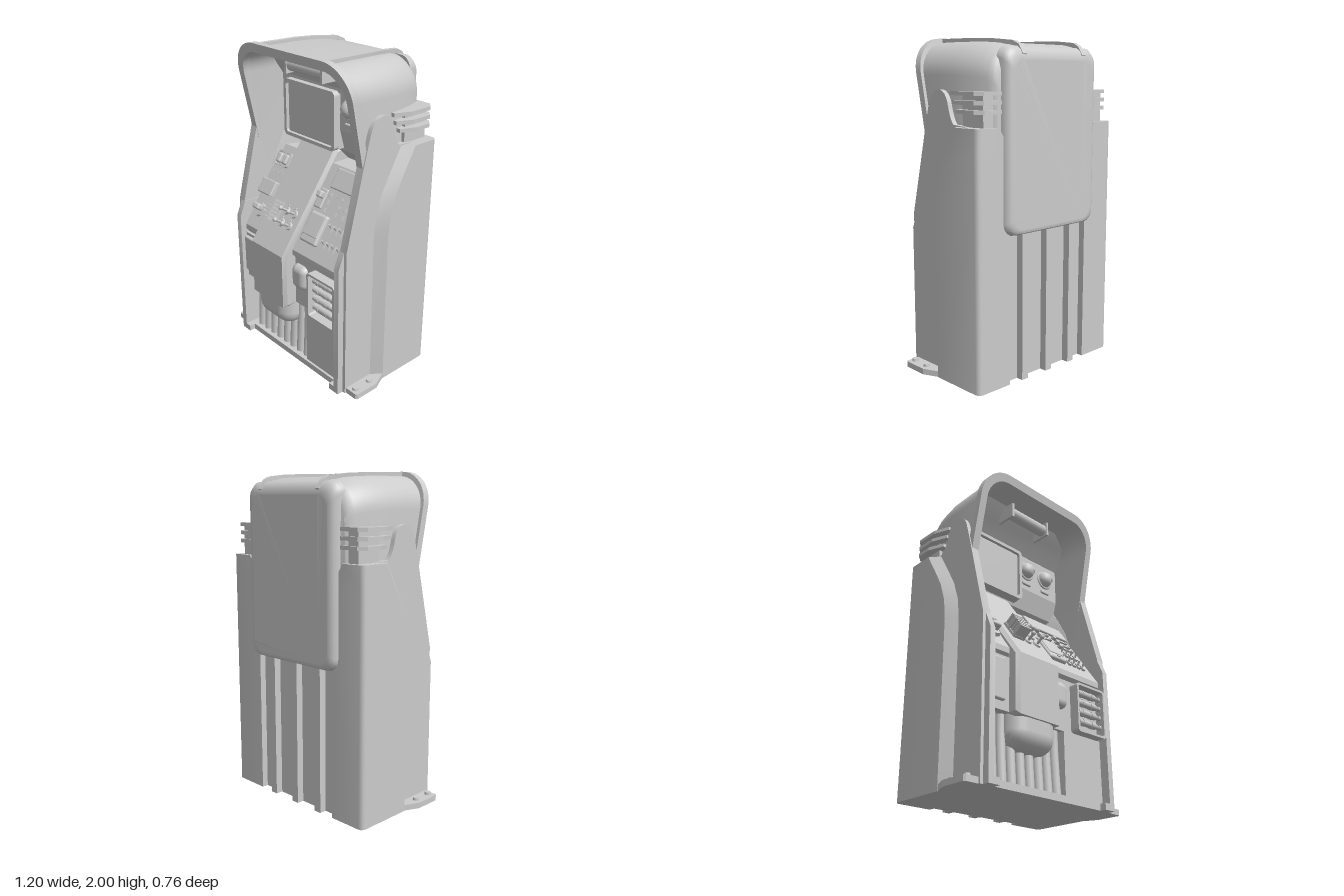
import * as THREE from 'three';
import { toCreasedNormals } from 'three/addons/utils/BufferGeometryUtils.js';
import { RoundedBoxGeometry } from 'three/addons/geometries/RoundedBoxGeometry.js';

const grey = new THREE.MeshStandardMaterial({ color: 0xcccccc });
const greyThin = new THREE.MeshStandardMaterial({ color: 0xcccccc, side: THREE.DoubleSide });

const mix = THREE.MathUtils.lerp;

function add(parent, name, geo, x = 0, y = 0, z = 0, mat = grey) {
  const m = new THREE.Mesh(geo, mat);
  m.name = name;
  m.position.set(x, y, z);
  parent.add(m);
  return m;
}
const box = (w, h, d) => new THREE.BoxGeometry(w, h, d);
const soft = (w, h, d, r) => new RoundedBoxGeometry(w, h, d, 3, r);
const cyl = (r0, r1, h, n = 16) => new THREE.CylinderGeometry(r0, r1, h, n);
const polygon = pts => new THREE.Shape(pts.map(p => new THREE.Vector2(...p)));

// Side profile of [z, y] points (or a Shape) stretched from x0 to x1, with optional chamfer b
function profile(shape, x0, x1, b = 0) {
  const s = Array.isArray(shape) ? polygon(shape) : shape;
  const g = new THREE.ExtrudeGeometry(s, { depth: x1 - x0 - 2 * b, curveSegments: 10,
    bevelEnabled: b > 0, bevelThickness: b, bevelSize: b, bevelOffset: -b, bevelSegments: 1 });
  return toCreasedNormals(g.rotateY(-Math.PI / 2).translate(x1 - b, 0, 0), 0.5);
}
// Floor plan of [x, z] points raised to height h
function plan(pts, h) {
  const s = polygon(pts.map(([x, z]) => [x, -z]));
  return new THREE.ExtrudeGeometry(s, { depth: h, bevelEnabled: false }).rotateX(-Math.PI / 2);
}
// Skin over closed rings of [x, y, z] points
function loft(rings, capStart = true, capEnd = true) {
  const n = rings[0].length, idx = [], last = (rings.length - 1) * n;
  for (let r = 0; r < rings.length - 1; r++)
    for (let i = 0; i < n; i++) {
      const a = r * n + i, b = r * n + (i + 1) % n;
      idx.push(a, b, b + n, a, b + n, a + n);
    }
  for (let i = 1; i < n - 1; i++) {
    if (capStart) idx.push(0, i + 1, i);
    if (capEnd) idx.push(last, last + i, last + i + 1);
  }
  const g = new THREE.BufferGeometry();
  g.setAttribute('position', new THREE.Float32BufferAttribute(rings.flat(2), 3));
  g.setIndex(idx);
  return toCreasedNormals(g, 0.6);
}
// Round-shouldered arch, from lower left over the top to lower right
function arch(w, top, r, bottom) {
  const pts = [[-w, bottom]];
  for (const [cx, start] of [[-w + r, Math.PI], [w - r, Math.PI / 2]])
    for (let i = 0; i <= 10; i++) {
      const a = start - i / 10 * Math.PI / 2;
      pts.push([cx + r * Math.cos(a), top - r + r * Math.sin(a)]);
    }
  return [...pts, [w, bottom]];
}
function roundRect(x, y, w, h, r) {
  const s = new THREE.Shape();
  s.absarc(x + w - r, y + r, r, -Math.PI / 2, 0);
  s.absarc(x + w - r, y + h - r, r, 0, Math.PI / 2);
  s.absarc(x + r, y + h - r, r, Math.PI / 2, Math.PI);
  s.absarc(x + r, y + r, r, Math.PI, Math.PI * 1.5);
  return s;
}
function frame(x, y, w, h, r, border, depth) {
  const s = roundRect(x, y, w, h, r);
  s.holes.push(roundRect(x + border, y + border, w - 2 * border, h - 2 * border, r * 0.6));
  return new THREE.ExtrudeGeometry(s, { depth, bevelEnabled: false, curveSegments: 5 });
}
const hoodFront = y => 0.31 - 0.21 * (2 - y);

function buildHood(g) {
  const rings = [[0, .48, 1.975], [.3, .48, 1.975], [.55, .478, 1.972], [.7, .465, 1.968], [.82, .45, 1.962],
    [.92, .432, 1.95], [.97, .42, 1.935], [1, .4, 1.9]]
    .map(([t, w, top]) => arch(w, top, .19, .95).map(([x, y]) => [x, y, mix(hoodFront(y), -.325, t)]));
  add(g, 'hood', loft(rings, false, true), 0, 0, 0, greyThin);
  // Smooth lining inside the opening
  const lining = [0, 1].map(t => arch(.452, 1.945, .155, .95).map(([x, y]) => [x, y, mix(hoodFront(y) - .02, -.18, t)]));
  add(g, 'hoodLining', loft(lining, false, false), 0, 0, 0, greyThin);

  // Slanted rim around the opening
  const rimShape = polygon([...arch(.5, 2, .2, 1.36), ...arch(.452, 1.945, .155, 1.36).reverse()]);
  const rim = new THREE.ExtrudeGeometry(rimShape, { depth: .045, bevelEnabled: false });
  const p = rim.attributes.position;
  for (let i = 0; i < p.count; i++) p.setZ(i, p.getZ(i) - .045 + hoodFront(p.getY(i)));
  add(g, 'hoodRim', toCreasedNormals(rim, .5));

  // Rails running over the roof and onto the rear cover
  const path = [[.29, 1.997, .29], [.29, 1.993, 0], [.275, 1.987, -.15], [.25, 1.972, -.3], [.245, 1.95, -.345], [.245, 1.9, -.378]];
  for (const s of [-1, 1])
    add(g, 'roofRail', loft(path.map(([x, y, z]) => {
      const l = s * x - .015, r = s * x + .015;
      return [[l, y, z], [r, y, z], [r, y - .024, z + .01], [l, y - .024, z + .01]];
    })));
  // Rear cover, softened more along its top edge
  const cover = [[-.29, .375, .885, 1.945], [-.335, .372, .887, 1.94], [-.362, .36, .892, 1.92], [-.375, .342, .9, 1.895],
    [-.38, .322, .915, 1.87], [-.38, .318, .92, 1.865]]
    .map(([z, w, y0, y1]) => roundRect(-w, y0, 2 * w, y1 - y0, .075).getPoints(6).reverse().map(q => [q.x, q.y, z]));
  add(g, 'rearCover', loft(cover));
}

function buildSide() {
  const g = new THREE.Group();
  g.name = 'side';
  const s = new THREE.Shape();
  s.moveTo(-.33, 0);
  s.lineTo(.31, 0);
  s.lineTo(.31, .96);
  s.lineTo(.19, 1.44);
  s.lineTo(.145, 1.61);
  s.bezierCurveTo(.12, 1.72, 0, 1.74, -.03, 1.63);
  s.quadraticCurveTo(-.05, 1.54, -.08, 1.51);
  s.lineTo(-.33, 1.49);
  add(g, 'sidePlate', profile(s, .455, .508));
  // Outer pod with chamfered front that sweeps back near the top
  const pod = [[0, .035, .32], [1, .035, .32], [1.13, .02, .32], [1.25, -.02, .32], [1.37, -.085, .32], [1.5, -.16, .4]].map(([y, z, inner]) =>
    [[.45, z + .065], [.506, z + .065], [.56, z], [.56, -.31], [.556, -.325], [.546, -.336], [.53, -.34], [inner, -.34], [inner, -.25]]
      .map(([x, q]) => [x, y, q]));
  add(g, 'sidePod', loft(pod));
  // Cooling fins beside the hood
  add(g, 'finCore', box(.12, .21, .17), .43, 1.59, -.225);
  [[1.685, -.04], [1.635, -.06], [1.585, -.09]].forEach(([y, z]) =>
    add(g, 'coolingFin', plan([[.4, z], [.5, z], [.54, z - .1], [.54, -.29], [.5, -.33], [.36, -.33]], .022), 0, y - .011));
  // Front post and bolted foot
  add(g, 'frontPost', profile([[.2, 0], [.35, 0], [.35, .86], [.31, .96], [.2, .96]], .45, .488));
  add(g, 'postFoot', box(.075, .04, .12), .4475, .02, .29);
  add(g, 'footPlate', plan([[.48, .0], [.555, .03], [.6, .13], [.6, .29], [.59, .3], [.48, .3]], .035));
  for (const z of [.15, .265]) add(g, 'bolt', cyl(.018, .02, .016), .555, .043, z);
  return g;
}

// Puts a part on a sloped face, tilted to match
const consoleZ = y => .31 - .6875 * (y - .8);
const columnZ = y => .38 - .72 * (y - .76);
function onSlope(g, slope, name, x, y) {
  const s = new THREE.Group();
  s.name = name;
  s.position.set(x, y, slope(y));
  s.rotation.x = -.61;
  g.add(s);
  return s;
}

function buildBody(g) {
  add(g, 'body', profile([[-.3, 0], [.31, 0], [.31, .04], [.22, .04], [.22, .42], [.29, .42], [.29, .745], [.31, .765],
    [.31, .8], [-.02, 1.28], [-.17, 1.28], [-.2, 1.4], [-.3, 1.4]], -.456, .456));
  for (const x of [-.2, 0, .2]) add(g, 'rearRib', box(.05, .95, .05), x, .475, -.32);

  // Lower front: centre column, belly, hoses and panels
  add(g, 'column', profile([[-.18, 1.36], [-.05, 1.36], [.38, .76], [.38, .4], [.1, .4], [-.18, 1.2]], -.31, .03, .02));
  add(g, 'belly', soft(.342, .4, .3, .1), -.14, .43, .215);
  for (let i = 0; i < 8; i++) {
    const x = -.385 + i * .069;
    const c = new THREE.CatmullRomCurve3([[x, .03, .255], [x, .2, .245], [x, .33, .24], [x, .43, .24]]
      .map(p => new THREE.Vector3(...p)));
    add(g, 'hose', new THREE.TubeGeometry(c, 10, .03, 10));
  }
  add(g, 'servicePanel', box(.32, .38, .08), .295, .23, .255);
  add(g, 'leftPanel', box(.145, .32, .03), -.383, .58, .295);
  add(g, 'leftPouch', soft(.1, .25, .05, .012), -.4, .595, .306);
  add(g, 'roundedKnob', soft(.13, .165, .1, .045), .09, .63, .283);
  add(g, 'rackFrame', frame(.205, .425, .245, .305, .02, .014, .065), 0, 0, .285);
  [.68, .62, .56, .5].forEach(y => {
    const b = new THREE.Group();
    b.name = 'canister';
    b.position.set(.325, y, .315);
    b.rotation.z = -Math.PI / 2;
    add(b, 'canisterBody', cyl(.02, .02, .15), 0, -.01, 0);
    add(b, 'canisterNeck', cyl(.01, .02, .035), 0, .08, 0);
    add(b, 'canisterCap', cyl(.016, .016, .018), 0, .1, 0);
    for (const o of [-.045, .03]) add(b, 'strap', cyl(.023, .023, .014), 0, o, 0);
    g.add(b);
  });
}

function buildAlcove(g) {
  const wall = new THREE.ExtrudeGeometry(polygon(arch(.475, 1.965, .19, 1.5)), { depth: .05, bevelEnabled: false });
  add(g, 'alcoveWall', wall, 0, 0, -.08);
  // Wall below the screen recedes behind the console
  add(g, 'lowerWall', profile([[-.03, 1.5], [-.07, 1.36], [-.16, 1.27], [-.22, 1.27], [-.22, 1.5]], -.47, .47));
  // Overhang that leans forward above the screen
  const overhang = [[1.75, .45, -.026], [1.83, .448, .03], [1.88, .425, .07], [1.95, .3, .12]]
    .map(([y, w, z]) => [[-w, y, z], [w, y, z], [w, y, -.06], [-w, y, -.06]]);
  add(g, 'overhang', loft(overhang));
  add(g, 'lampTube', cyl(.04, .04, .3, 20).rotateZ(Math.PI / 2), 0, 1.88, .14);
  for (const x of [-.158, .158]) add(g, 'lampClip', box(.016, .1, .13), x, 1.88, .12);
  add(g, 'screenBacking', box(.47, .34, .06), -.155, 1.55, -.05);
  add(g, 'screenFrame', frame(-.39, 1.37, .47, .365, .03, .022, .04), 0, 0, -.022);
  add(g, 'screenGlass', soft(.43, .325, .03, .01), -.155, 1.553, -.016);
  for (const x of [.165, .34]) {
    add(g, 'dialRing', new THREE.TorusGeometry(.058, .009, 8, 28), x, 1.64, -.03);
    add(g, 'dialDome', new THREE.SphereGeometry(.053, 24, 14), x, 1.64, -.03);
    add(g, 'dialVisor', new THREE.SphereGeometry(.06, 24, 8, 0, Math.PI * 2, 0, Math.PI / 2), x, 1.64, -.03, greyThin);
    add(g, 'dialLabel', soft(.075, .025, .02, .008), x, 1.543, -.028);
  }
}

function buildControls(g) {
  // Centre column: ribbed wheel and four small sticks
  const wheel = onSlope(g, columnZ, 'thumbWheel', -.21, .955);
  add(wheel, 'wheelBase', box(.085, .14, .03));
  for (let i = 0; i < 6; i++) add(wheel, 'wheelRib', box(i % 3 ? .075 : .085, .015, .1), 0, -.06 + i * .024, .035);
  for (const x of [-.125, -.052]) for (const y of [.915, .98]) {
    const k = onSlope(g, columnZ, 'stick', x, y);
    add(k, 'stickBase', cyl(.024, .028, .012).rotateX(Math.PI / 2), 0, 0, .005);
    add(k, 'stickShaft', cyl(.008, .008, .05, 8).rotateX(Math.PI / 2), 0, 0, .035);
    add(k, 'stickTip', new THREE.SphereGeometry(.015, 10, 8), 0, 0, .062);
    add(k, 'stickLight', soft(.012, .012, .012, .004), 0, .034, .004);
  }
  // Left console: raised button box, pad and grip
  const left = onSlope(g, consoleZ, 'buttonBox', -.378, 1.2);
  add(left, 'buttonPlate', frame(-.062, -.05, .124, .1, .015, .008, .018));
  for (const x of [-.03, .03]) add(left, 'button', soft(.04, .065, .035, .012), x, 0, .012);
  for (let i = 0; i < 5; i++) add(left, 'indicator', box(.01, .01, .01), -.05 + i * .025, -.09 + (i % 2) * .012, .004);
  add(onSlope(g, consoleZ, 'leftPad', -.38, 1.03), 'padPlate', soft(.135, .1, .08, .008));
  const grip = onSlope(g, consoleZ, 'grip', -.375, .905);
  add(grip, 'gripBase', cyl(.045, .05, .02, 6).rotateX(Math.PI / 2), 0, 0, .01);
  add(grip, 'gripHead', soft(.06, .04, .05, .012), 0, .012, .04);

  // Right console: tray, lever, sliders, tablet and toggles
  add(onSlope(g, consoleZ, 'tray', .275, 1.215), 'trayLid', soft(.345, .13, .03, .008));
  const lever = onSlope(g, consoleZ, 'lever', .07, 1.095);
  add(lever, 'leverPlate', soft(.062, .125, .02, .009));
  add(lever, 'leverHandle', soft(.042, .045, .05, .012), 0, .02, .02);
  for (const [x, w] of [[.18, .12], [.345, .14]]) for (const y of [1.05, 1.09, 1.13]) {
    const s = onSlope(g, consoleZ, 'slider', x, y);
    add(s, 'sliderTrack', box(w, .014, .012), 0, 0, .004);
    add(s, 'sliderCap', box(.026, .024, .024), -w * .38, 0, .01);
    add(s, 'sliderStop', box(.012, .02, .018), w * .42, 0, .006);
  }
  const tablet = onSlope(g, consoleZ, 'tablet', .132, .945);
  add(tablet, 'tabletBody', soft(.145, .195, .036, .014), 0, 0, .008);
  add(tablet, 'tabletFace', soft(.125, .14, .012, .005), 0, .017, .025);
  add(tablet, 'tabletKey', box(.025, .012, .01), 0, -.075, .026);
  for (const x of [.25, .292, .334, .376]) for (const y of [.895, .98]) {
    const t = onSlope(g, consoleZ, 'toggle', x, y);
    add(t, 'toggleBase', box(.022, .045, .014), 0, 0, .005);
    add(t, 'toggleArm', cyl(.008, .005, .034, 8).rotateX(1.1), 0, .01, .022);
  }
}

export function createModel() {
  const model = new THREE.Group();
  model.name = 'controlCabinet';
  buildHood(model);
  buildBody(model);
  buildAlcove(model);
  buildControls(model);
  // Matching left and right sides
  const left = buildSide(), right = buildSide();
  right.scale.x = -1;
  model.add(left, right);
  return model;
}
